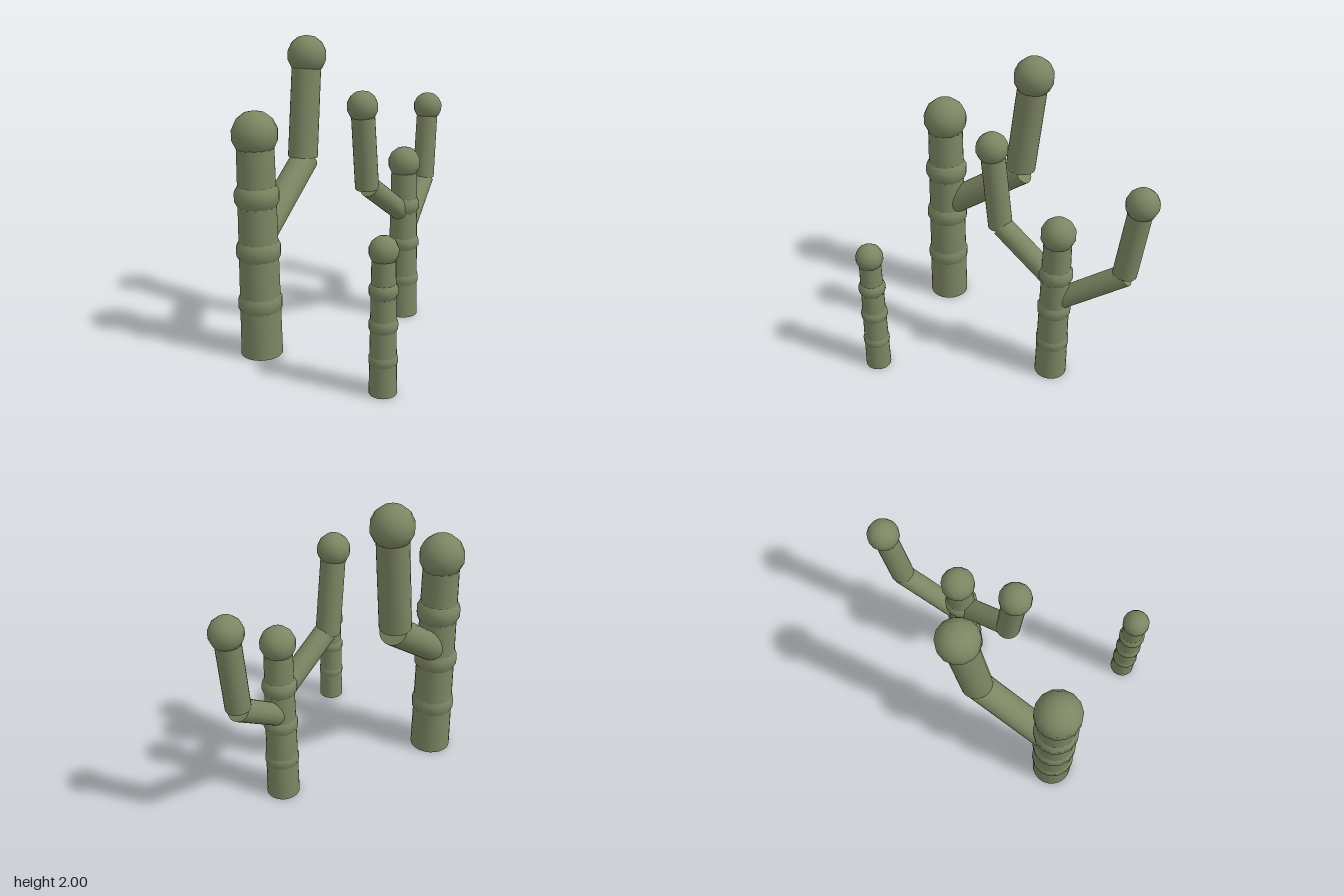
import * as THREE from 'three';

const green = new THREE.MeshStandardMaterial({ color: 0x7d8663 });
green.name = 'cactus green';

function add(group, name, geometry) {
  const mesh = new THREE.Mesh(geometry, green);
  mesh.name = name;
  group.add(mesh);
  return mesh;
}

// Tapered cylinder between two points
function limb(group, name, from, to, r0, r1) {
  const a = new THREE.Vector3(...from);
  const dir = new THREE.Vector3(...to).sub(a);
  const mesh = add(group, name, new THREE.CylinderGeometry(r1, r0, dir.length(), 24));
  mesh.position.copy(a).addScaledVector(dir, 0.5);
  mesh.quaternion.setFromUnitVectors(new THREE.Vector3(0, 1, 0), dir.normalize());
}

// Faceted ball used for tips and, squashed, for the swollen rings
function ball(group, name, pos, r, squash = 1) {
  const mesh = add(group, name, new THREE.SphereGeometry(r, 14, 7));
  mesh.position.set(...pos);
  mesh.scale.y = squash;
}

function cactus({ name, x, z, r0, r1, top, capR, rings, ringR, arms = [] }) {
  const group = new THREE.Group();
  group.name = name;
  limb(group, 'trunk', [x, 0, z], [x, top, z], r0, r1);
  rings.forEach((y) => ball(group, 'trunkRing', [x, y, z], ringR, 0.88));
  ball(group, 'trunkCap', [x, top, z], capR);
  // Each arm slopes out of the trunk, then turns upward at the elbow
  for (const { y, elbow, base, tip, r, upperR, tipR } of arms) {
    const arm = new THREE.Group();
    arm.name = 'arm';
    limb(arm, 'lowerArm', [x, y, z], elbow, r, r);
    limb(arm, 'upperArm', base, tip, upperR, upperR * 0.97);
    ball(arm, 'armCap', tip, tipR);
    group.add(arm);
  }
  return group;
}

export function createModel() {
  const model = new THREE.Group();
  model.name = 'cactusCluster';
  model.add(
    cactus({
      name: 'largeCactus', x: -0.675, z: 0.01, r0: 0.136, r1: 0.117, top: 1.455, capR: 0.148,
      rings: [0.355, 0.71, 1.065], ringR: 0.147,
      arms: [{
        y: 0.77, elbow: [-0.28, 1.18, -0.4], base: [-0.294, 1.2, -0.39], tip: [-0.243, 1.87, -0.442],
        r: 0.093, upperR: 0.1, tipR: 0.132,
      }],
    }),
    cactus({
      name: 'mediumCactus', x: 0.412, z: -0.345, r0: 0.107, r1: 0.088, top: 1.12, capR: 0.113,
      rings: [0.275, 0.545, 0.82], ringR: 0.112,
      arms: [
        {
          y: 0.755, elbow: [0.09, 1.035, -0.105], base: [0.072, 1.03, -0.1], tip: [0.028, 1.58, -0.055],
          r: 0.071, upperR: 0.079, tipR: 0.103,
        },
        {
          y: 0.6, elbow: [0.68, 0.905, -0.685], base: [0.678, 0.92, -0.68], tip: [0.715, 1.435, -0.722],
          r: 0.071, upperR: 0.077, tipR: 0.103,
        },
      ],
    }),
    cactus({
      name: 'smallCactus', x: -0.072, z: 0.737, r0: 0.085, r1: 0.07, top: 0.895, capR: 0.09,
      rings: [0.22, 0.44, 0.655], ringR: 0.09,
    }),
  );
  return model;
}
